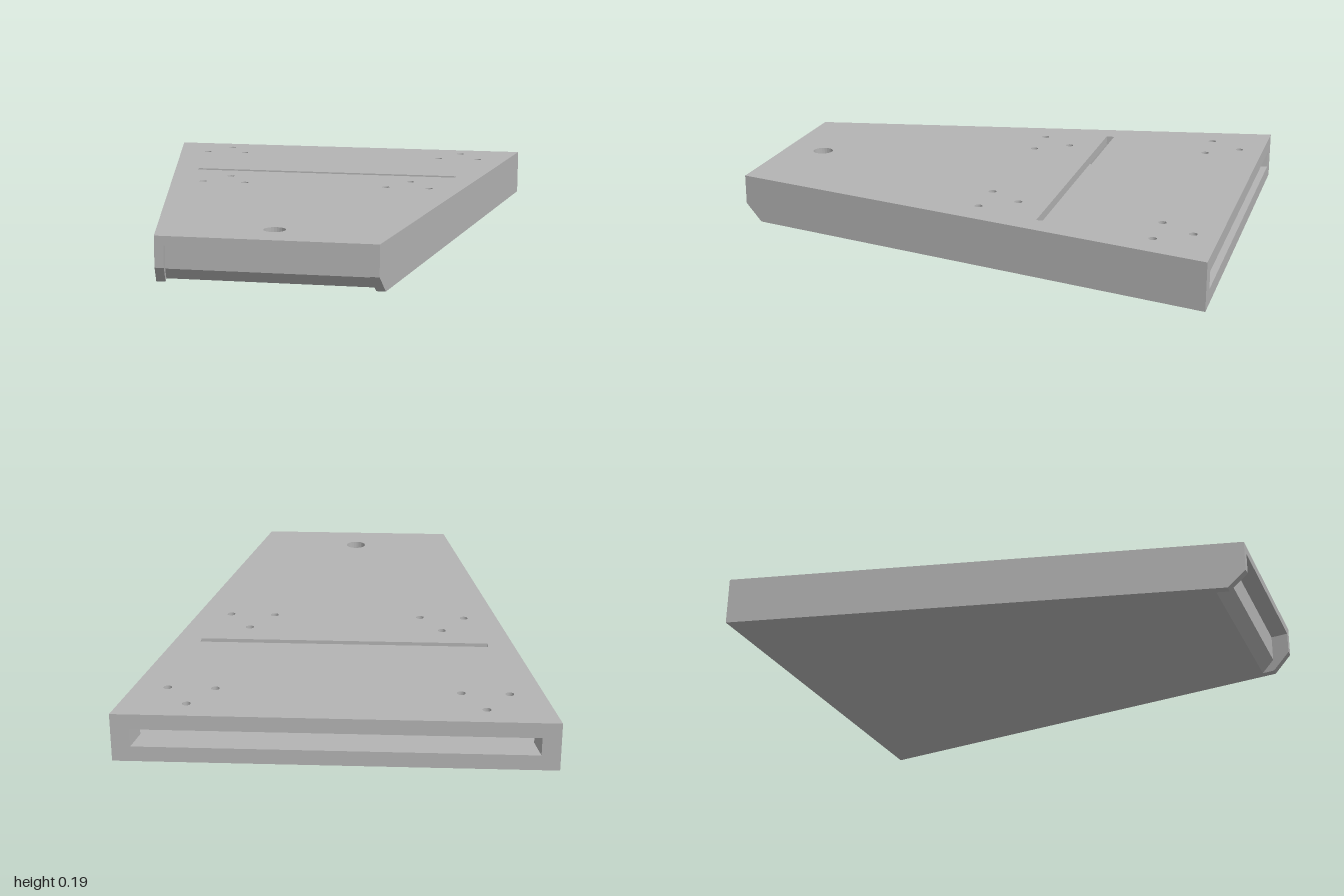
import * as THREE from 'three';

const WALL = 0.035, ROOF = 0.155, TOP = 0.19;
const half = z => 0.615 - 0.2025 * z; // half width of the tapered body at depth z

// Side profile of [z, y] points swept across x from low(z) to high(z)
function sweep(profile, low, high) {
  const shape = new THREE.Shape(profile.map(([z, y]) => new THREE.Vector2(z, y)));
  const geo = new THREE.ExtrudeGeometry(shape, { depth: 1, bevelEnabled: false });
  const p = geo.attributes.position;
  for (let i = 0; i < p.count; i++) {
    const z = p.getX(i), y = p.getY(i), t = p.getZ(i);
    p.setXYZ(i, THREE.MathUtils.lerp(high(z), low(z), t), y, z);
  }
  geo.computeVertexNormals();
  return geo;
}

const rect = (z0, z1, y0, y1) => [[z0, y0], [z1, y0], [z1, y1], [z0, y1]];
const inset = d => z => half(z) - d;
const mirrorInset = d => z => d - half(z);

export function createModel() {
  const group = new THREE.Group();
  const grey = new THREE.MeshStandardMaterial({ color: 0xb4b4b4 });
  grey.name = 'grey';
  const add = (name, geo) => {
    const mesh = new THREE.Mesh(geo, grey);
    mesh.name = name;
    group.add(mesh);
    return mesh;
  };
  const across = (name, profile, d = WALL) => add(name, sweep(profile, mirrorInset(d), inset(d)));
  const bothSides = (name, profile, outer, inner) => {
    add('left' + name, sweep(profile, inset(inner), inset(outer)));
    add('right' + name, sweep(profile, mirrorInset(outer), mirrorInset(inner)));
  };

  // Top plate with screw holes, a cross slot and a front hole
  const plate = new THREE.Shape([[-1, 1], [1, 1], [1, -1], [-1, -1]]
    .map(([z, s]) => new THREE.Vector2(s * half(z), -z)).reverse());
  const hole = (x, z, r) => plate.holes.push(new THREE.Path().absarc(x, -z, r, 0, Math.PI * 2, true));
  for (const s of [-1, 1]) {
    for (const [x, z] of [[0.55, -0.9], [0.64, -0.765], [0.46, -0.765],
      [0.393, -0.175], [0.485, -0.04], [0.303, -0.04]]) hole(s * x, z, 0.016);
  }
  hole(0, 0.83, 0.042);
  plate.holes.push(new THREE.Path([[-0.575, 0.3], [-0.575, 0.333], [0.575, 0.333], [0.575, 0.3]]
    .map(([x, y]) => new THREE.Vector2(x, y))));
  const plateGeo = new THREE.ExtrudeGeometry(plate, { depth: TOP - ROOF, bevelEnabled: false, curveSegments: 12 });
  plateGeo.rotateX(-Math.PI / 2);
  add('topPlate', plateGeo).position.y = ROOF;

  // Side walls, chamfered under the front tips
  bothSides('Wall', [[-1, 0], [0.93, 0], [1, 0.07], [1, ROOF], [-1, ROOF]], 0, WALL);

  // Floor and recessed front panel share a set-back chamfer
  across('floor', [[-1, 0], [0.88, 0], [0.915, WALL], [-1, WALL]]);
  across('frontPanel', [[0.88, WALL], [0.915, WALL], [0.93, 0.05], [0.93, ROOF], [0.88, ROOF]]);

  // Rim around the long back opening
  across('backRimBottom', rect(-1, -0.9, WALL, 0.06));
  across('backRimTop', rect(-1, -0.9, 0.13, ROOF));
  bothSides('BackRim', rect(-1, -0.9, 0.06, 0.13), WALL, 0.07);

  return group;
}
